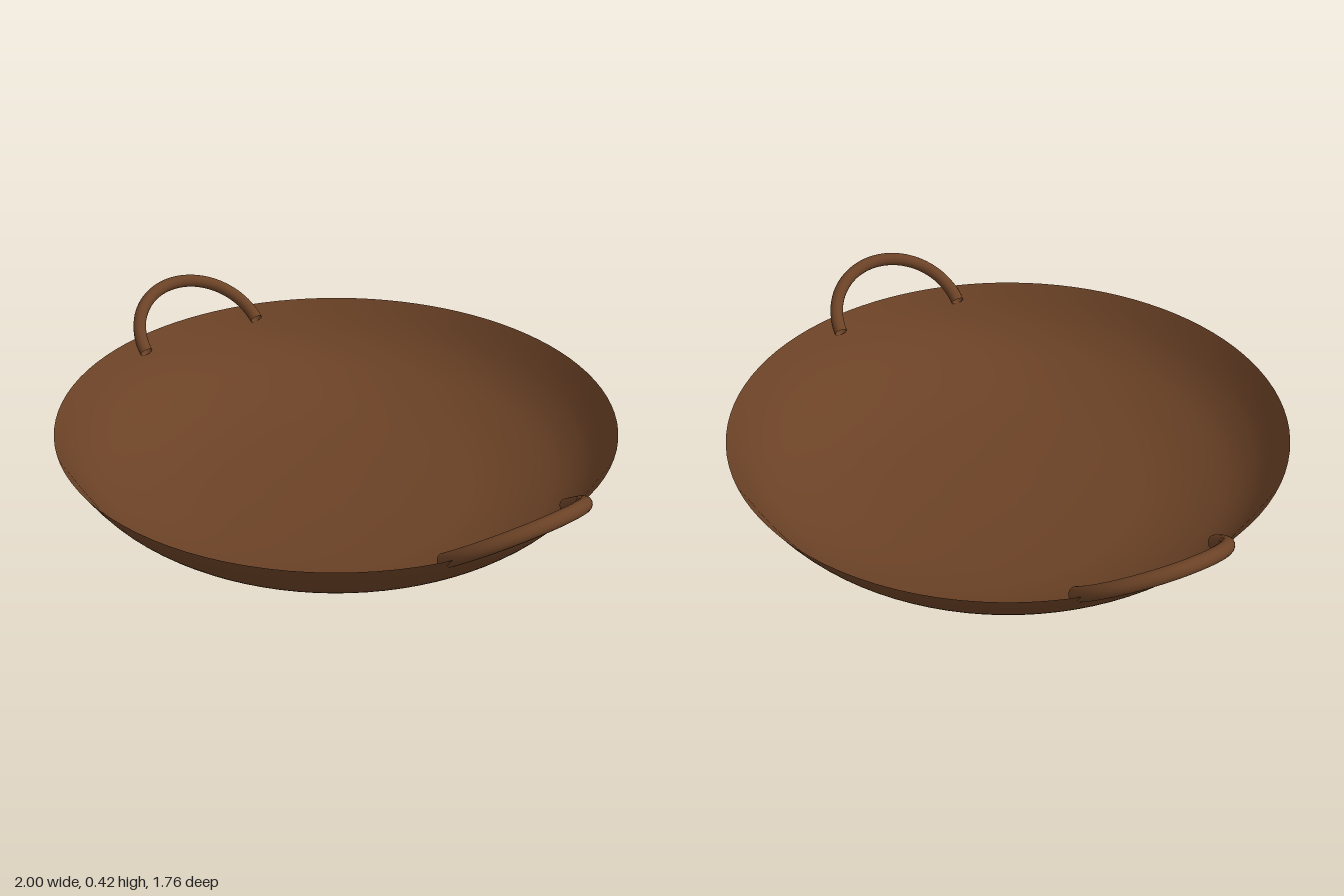
import * as THREE from 'three';

export function createModel() {
  const model = new THREE.Group();
  model.name = 'pan';
  const brown = new THREE.MeshStandardMaterial({ color: 0x6b4226, side: THREE.DoubleSide });

  // Thin shallow bowl turned from a smooth half profile
  const profile = new THREE.SplineCurve([
    [0, 0], [0.2, 0.003], [0.42, 0.02], [0.55, 0.046], [0.65, 0.083],
    [0.73, 0.125], [0.79, 0.175], [0.835, 0.23], [0.88, 0.3],
  ].map(([r, y]) => new THREE.Vector2(r, y)));
  const bowl = new THREE.Mesh(new THREE.LatheGeometry(profile.getPoints(40), 96), brown);
  bowl.name = 'bowl';
  model.add(bowl);

  // Half-ring handles leaning outwards, one on each side
  const tilt = THREE.MathUtils.degToRad(37);
  const ring = new THREE.TorusGeometry(0.23, 0.022, 16, 48, Math.PI);
  ring.rotateY(Math.PI / 2);
  ring.rotateZ(tilt - Math.PI / 2);
  ring.translate(0.794, 0.264, 0);
  for (const [name, turn] of [['leftHandle', 0], ['rightHandle', Math.PI]]) {
    const handle = new THREE.Mesh(ring, brown);
    handle.name = name;
    handle.rotation.y = turn;
    model.add(handle);
  }
  return model;
}
